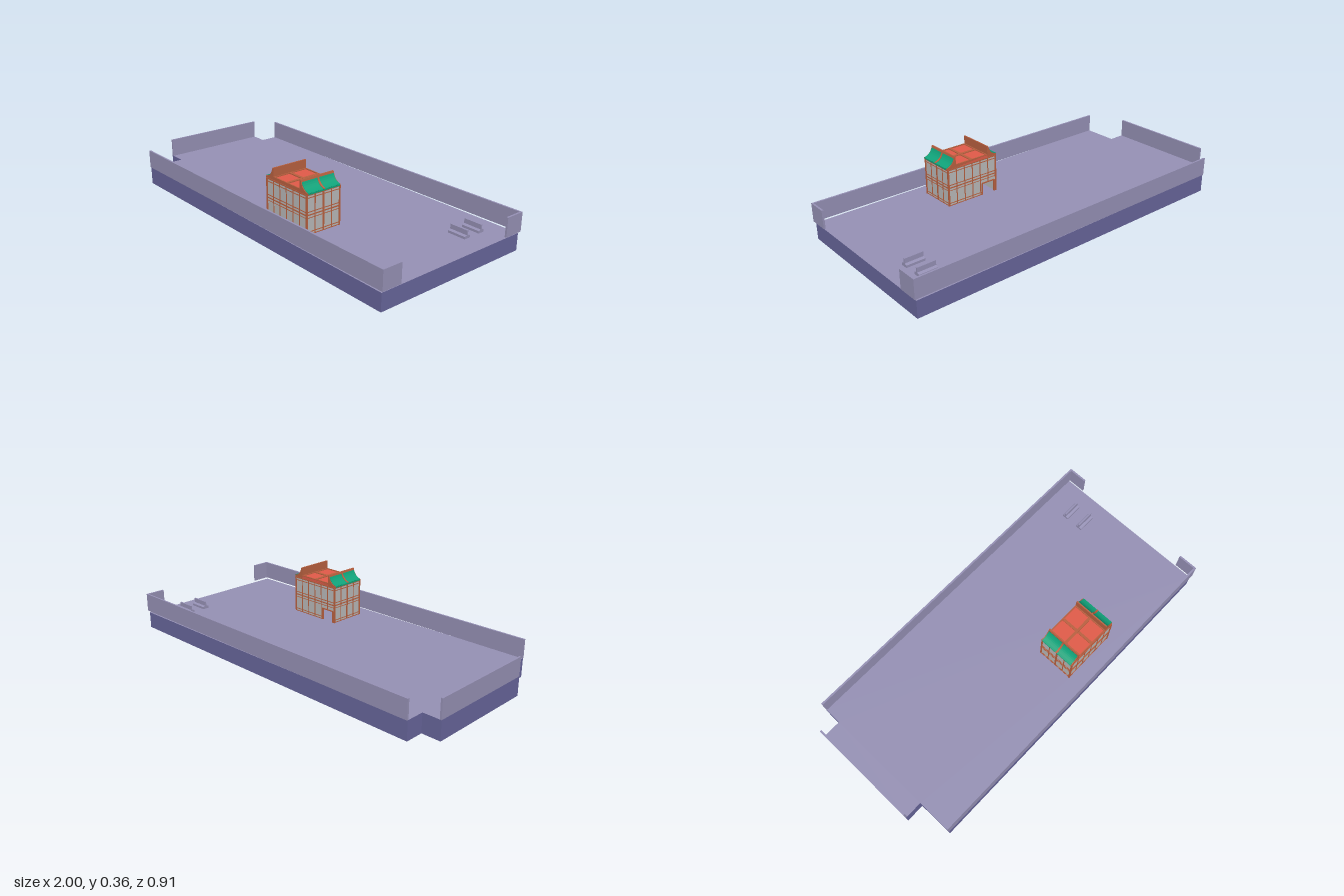
import * as THREE from 'three';

const mat = (color) => new THREE.MeshStandardMaterial({ color, flatShading: true });
const STONE = mat(0x9590b4), STONE_SIDE = mat(0x67659a), PANEL = mat(0xb8b8b8);
const TIMBER = mat(0xb8603f), GREEN = mat(0x10a37a), RED = mat(0xe05a48);

// Box given by its limits on each axis
function box(parent, name, material, [x0, x1], [y0, y1], [z0, z1]) {
  const mesh = new THREE.Mesh(new THREE.BoxGeometry(x1 - x0, y1 - y0, z1 - z0), material);
  mesh.position.set((x0 + x1) / 2, (y0 + y1) / 2, (z0 + z1) / 2);
  mesh.name = name;
  parent.add(mesh);
  return mesh;
}

const shapeOf = (pts) => new THREE.Shape(pts.map(([x, y]) => new THREE.Vector2(x, y)));

// Profile in x/y swept from z0 to z1
function sweepZ(parent, name, material, pts, z0, z1) {
  const geo = new THREE.ExtrudeGeometry(shapeOf(pts), { depth: z1 - z0, bevelEnabled: false });
  const mesh = new THREE.Mesh(geo, material);
  mesh.position.z = z0;
  mesh.name = name;
  parent.add(mesh);
  return mesh;
}

function makePlatform() {
  const g = new THREE.Group();
  g.name = 'platform';
  // Outline seen from above, with the two corners at -x cut out
  const outline = [[-1, -0.35], [-0.9, -0.35], [-0.9, -0.448], [0.99, -0.448],
    [0.99, 0.448], [-0.9, 0.448], [-0.9, 0.25], [-1, 0.25]].map(([x, z]) => [x, -z]);
  const geo = new THREE.ExtrudeGeometry(shapeOf(outline), { depth: 0.1, bevelEnabled: false });
  geo.rotateX(-Math.PI / 2);
  // The floor falls slightly towards +x
  const p = geo.attributes.position;
  for (let i = 0; i < p.count; i++) {
    if (p.getY(i) > 0.05) p.setY(i, 0.1 - 0.01 * (p.getX(i) + 1) / 1.99);
  }
  geo.computeVertexNormals();
  const base = new THREE.Mesh(geo, [STONE, STONE_SIDE]);
  base.name = 'base';
  g.add(base);

  // Parapet walls: long sides, short returns at +x, end wall at -x
  const y = [0.1, 0.2];
  for (const s of [-1, 1]) {
    const span = (a, b) => [s * a, s * b].sort((m, n) => m - n);
    box(g, 'sideWall', STONE, [-0.9, 0.99], y, span(0.443, 0.453));
    box(g, 'cornerWall', STONE, [0.99, 1], y, span(0.345, 0.453));
  }
  box(g, 'endWall', STONE, [-1, -0.99], y, [-0.35, 0.25]);
  return g;
}

function makeBench(z) {
  const pts = [[-0.018, 0.1], [0.018, 0.1], [0.018, 0.112], [0.004, 0.117], [0.004, 0.141],
    [-0.004, 0.141], [-0.004, 0.117], [-0.018, 0.112]];
  const geo = new THREE.ExtrudeGeometry(shapeOf(pts), { depth: 0.1, bevelEnabled: false });
  geo.rotateY(Math.PI / 2);
  const mesh = new THREE.Mesh(geo, STONE);
  mesh.position.set(0.79, 0, z);
  mesh.name = 'bench';
  return mesh;
}

// House, built around its own centre with the ground at y = 0.1
function makeHouse() {
  const g = new THREE.Group();
  g.name = 'house';
  const HX = 0.15, HZ = 0.1, T = 0.006;
  const door = { x0: -0.14, x1: -0.06, top: 0.165 };

  // Panel walls; the back one has a doorway
  box(g, 'frontPanel', PANEL, [-HX, HX], [0.1, 0.3], [HZ - T, HZ]);
  for (const s of [-1, 1]) {
    const x = s * (HX - T / 2);
    box(g, 'sidePanel', PANEL, [x - T / 2, x + T / 2], [0.1, 0.3], [-HZ + T, HZ - T]);
  }
  sweepZ(g, 'backPanel', PANEL, [[-HX, 0.1], [door.x0, 0.1], [door.x0, door.top], [door.x1, door.top],
    [door.x1, 0.1], [HX, 0.1], [HX, 0.3], [-HX, 0.3]], -HZ, -HZ + T);

  // Timber frame: posts and rails standing just proud of the panels
  const w = 0.0025, out = 0.002;
  const rails = [[0.1, 0.104], [0.113, 0.117], [0.184, 0.187], [0.197, 0.203], [0.213, 0.217],
    [0.283, 0.287], [0.296, 0.302]];
  for (const s of [-1, 1]) {
    const zFace = [s * HZ - out, s * HZ + out], xFace = [s * HX - out, s * HX + out];
    for (let i = -2; i <= 2; i++) {
      const x = i * 0.05, blocked = s < 0 && x > door.x0 && x < door.x1;
      box(g, 'post', TIMBER, [x - w, x + w], [blocked ? door.top : 0.1, 0.3], zFace);
    }
    for (let i = -1; i <= 1; i++) {
      const h = i === 0 ? 0.005 : w;
      box(g, 'post', TIMBER, xFace, [0.1, 0.3], [i * 0.05 - h, i * 0.05 + h]);
    }
    for (const y of rails) {
      box(g, 'rail', TIMBER, xFace, y, [-HZ, HZ]);
      if (s < 0 && y[0] < door.top) {
        box(g, 'rail', TIMBER, [-HX, door.x0], y, zFace);
        box(g, 'rail', TIMBER, [door.x1, HX], y, zFace);
      } else box(g, 'rail', TIMBER, [-HX, HX], y, zFace);
    }
    for (const t of [-1, 1]) {
      box(g, 'cornerPost', TIMBER, [s * HX - 0.004, s * HX + 0.004], [0.1, 0.302],
        [t * HZ - 0.004, t * HZ + 0.004]);
    }
  }
  // Door frame
  for (const x of [door.x0, door.x1]) {
    box(g, 'doorJamb', TIMBER, [x - 0.003, x + 0.003], [0.1, door.top], [-HZ - 0.004, -HZ + T]);
  }
  box(g, 'doorLintel', TIMBER, [door.x0, door.x1], [door.top - 0.003, door.top + 0.003],
    [-HZ - 0.004, -HZ + T]);

  // Flat red roof with crossing beams
  box(g, 'flatRoof', RED, [-0.1, 0.1], [0.3, 0.314], [-HZ, HZ]);
  for (const c of [-0.097, 0, 0.097]) {
    const h = c === 0 ? 0.007 : 0.003;
    box(g, 'roofBeam', TIMBER, [-0.1, 0.1], [0.3, 0.319], [c - h, c + h]);
    box(g, 'roofBeam', TIMBER, [c - h, c + h], [0.3, 0.3185], [-HZ, HZ]);
  }

  // Upswept eaves: curved timber body, green tiles and a raised rib
  const curve = new THREE.QuadraticBezierCurve(new THREE.Vector2(0.158, 0.31),
    new THREE.Vector2(0.117, 0.317), new THREE.Vector2(0.107, 0.363));
  const line = curve.getPoints(8).map((v) => [v.x, v.y]);
  const tile = line.filter(([, y]) => y < 0.357);
  for (const s of [-1, 1]) {
    const flip = (pts) => pts.map(([x, y]) => [s * x, y]);
    const layer = (d) => flip([...tile, ...tile.map(([x, y]) => [x + d, y + d]).reverse()]);
    sweepZ(g, 'eave', TIMBER, flip([[0.1, 0.3], [0.158, 0.3], ...line, [0.1, 0.363]]), -HZ, HZ);
    sweepZ(g, 'tiles', GREEN, layer(0.0015), -HZ + 0.004, -0.005);
    sweepZ(g, 'tiles', GREEN, layer(0.0015), 0.005, HZ - 0.004);
    sweepZ(g, 'roofRib', TIMBER, layer(0.003), -0.005, 0.005);
    const x = s * 0.157;
    box(g, 'eaveEdge', GREEN, [x - 0.002, x + 0.002], [0.303, 0.311], [-HZ + 0.004, HZ - 0.004]);
  }
  g.position.set(0.247, 0, 0.25);
  return g;
}

export function createModel() {
  const model = new THREE.Group();
  model.name = 'courtyard';
  model.add(makePlatform(), makeHouse(), makeBench(-0.2), makeBench(-0.3));
  return model;
}
